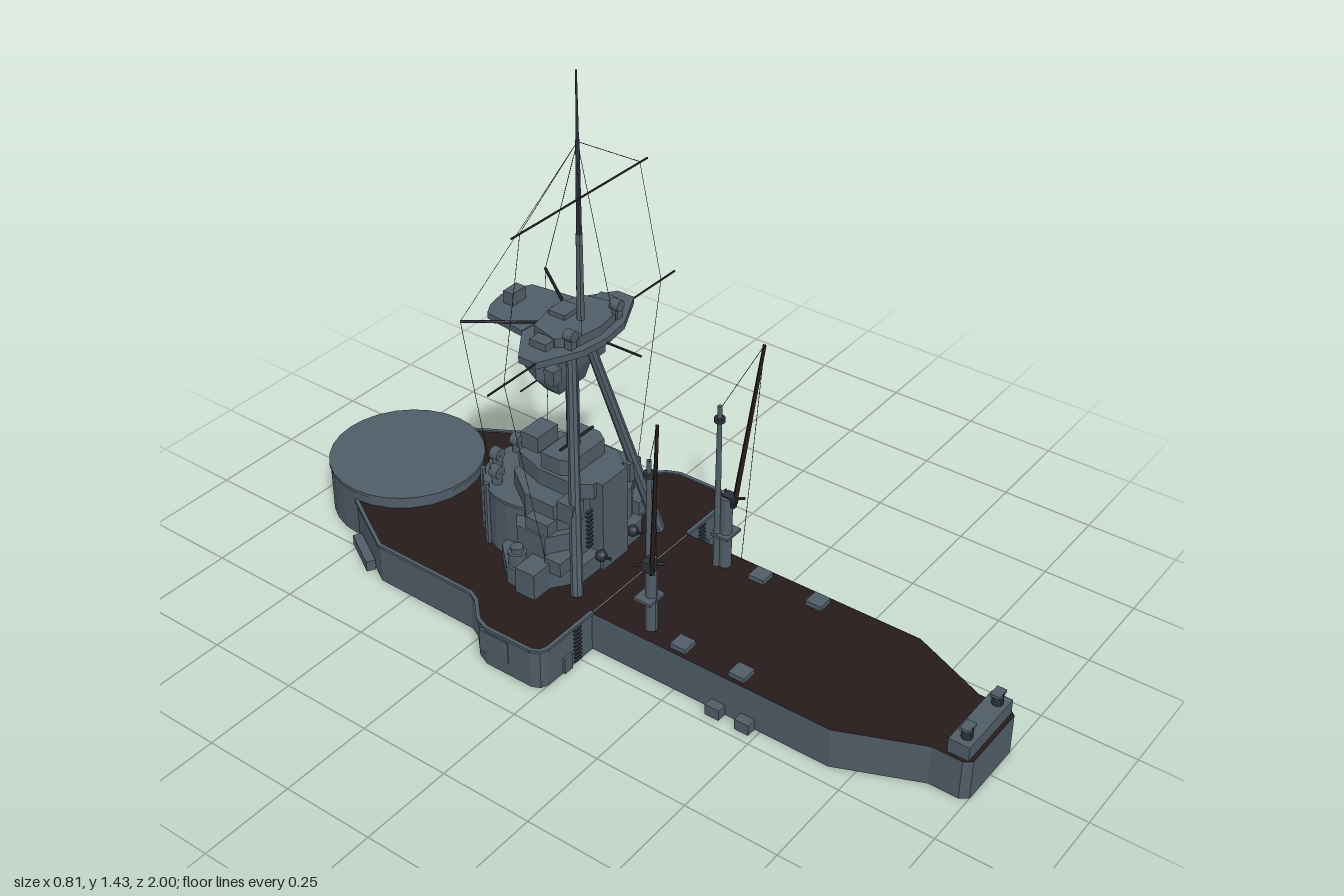
import * as THREE from 'three';
import { ConvexGeometry } from 'three/addons/geometries/ConvexGeometry.js';

const mat = (name, color) => {
  const m = new THREE.MeshStandardMaterial({ color, flatShading: true, side: THREE.DoubleSide });
  m.name = name;
  return m;
};

export function createModel() {
  const root = new THREE.Group();
  root.name = 'warship';
  const grey = mat('hull grey', 0x4f5c67), brown = mat('deck brown', 0x261b1b);
  const dark = mat('gunmetal', 0x2b3138), rope = mat('rigging', 0x33363a);
  const V = (x, y, z) => new THREE.Vector3(x, y, z);

  const add = (name, geo, m = grey, x = 0, y = 0, z = 0) => {
    const mesh = new THREE.Mesh(geo, m);
    mesh.name = name;
    mesh.position.set(x, y, z);
    root.add(mesh);
    return mesh;
  };
  // box and cylinder stand on height y
  const box = (name, x, y, z, w, h, d, m) => add(name, new THREE.BoxGeometry(w, h, d), m, x, y + h / 2, z);
  const cyl = (name, x, y, z, r, h, m, r2 = r, n = 12) =>
    add(name, new THREE.CylinderGeometry(r2, r, h, n), m, x, y + h / 2, z);
  // round bar from a to b
  const bar = (name, a, b, r, m = grey, r2 = r, n = 8) => {
    const d = b.clone().sub(a);
    const mesh = add(name, new THREE.CylinderGeometry(r2, r, d.length(), n), m);
    mesh.position.copy(a).addScaledVector(d, 0.5);
    mesh.quaternion.setFromUnitVectors(V(0, 1, 0), d.normalize());
    return mesh;
  };
  const line = (a, b) => bar('rigging line', a, b, 0.0008, rope, 0.0008, 4);
  const mirror = half => [...half, ...half.slice().reverse().filter(p => p[0] > 0).map(p => [-p[0], p[1]])];
  const plan = pts => new THREE.Shape(pts.map(p => new THREE.Vector2(p[0], -p[1])));
  const slab = (name, half, y, h, m) => {
    const g = new THREE.ExtrudeGeometry(plan(mirror(half)), { depth: h, bevelEnabled: false });
    return add(name, g.rotateX(-Math.PI / 2), m, 0, y, 0);
  };
  const flare = (name, bottom, y0, top, y1) => add(name, new ConvexGeometry([
    ...mirror(bottom).map(p => V(p[0], y0, p[1])), ...mirror(top).map(p => V(p[0], y1, p[1]))]));

  // Hull walls, open below
  const wall = (name, pts, y0, y1) => {
    const pos = [];
    for (let i = 0; i < pts.length - 1; i++) {
      const [a, b] = [pts[i], pts[i + 1]];
      pos.push(a[0], y0, a[1], b[0], y0, b[1], b[0], y1, b[1], a[0], y0, a[1], b[0], y1, b[1], a[0], y1, a[1]);
    }
    const g = new THREE.BufferGeometry();
    g.setAttribute('position', new THREE.Float32BufferAttribute(pos, 3));
    g.computeVertexNormals();
    add(name, g);
  };
  const aft = [[0.2, 0], [0.37, 0], [0.39, -0.008], [0.4, -0.03], [0.4, -0.17], [0.385, -0.205],
    [0.335, -0.255], [0.32, -0.285], [0.315, -0.6], [0.21, -0.78]];
  const bow = [[0.2, 0], [0.2, 0.69], [0.11, 0.9], [0.11, 0.98], [0.095, 1], [0, 1]];
  for (const s of [1, -1]) {
    const side = pts => pts.map(p => [p[0] * s, p[1]]);
    wall('aft hull side', side(aft), 0, 0.116);
    wall('bow hull side', side(bow), 0, 0.112);
    // Raised deck edge
    for (let i = 0; i < aft.length - 1; i++) {
      const [a, b] = [side(aft)[i], side(aft)[i + 1]];
      const e = box('deck edge', (a[0] + b[0]) / 2, 0.11, (a[1] + b[1]) / 2, 0.01, 0.008,
        Math.hypot(b[0] - a[0], b[1] - a[1]) + 0.004);
      e.rotation.y = Math.atan2(b[0] - a[0], b[1] - a[1]);
    }
  }
  for (const z of [0, 0.58]) wall('cross bulkhead', [[-0.2, z], [0.2, z]], 0, 0.11);

  // Decks, the aft one cut away around the turret ring
  const flat = (name, shape, y) => add(name, new THREE.ShapeGeometry(shape, 24).rotateX(-Math.PI / 2), brown, 0, y, 0);
  flat('bow deck', plan(mirror(bow)), 0.111);
  const arc = [];
  for (let i = 0; i <= 12; i++) {
    const t = Math.PI * i / 12;
    arc.push([0.208 * Math.cos(t), -0.79 + 0.208 * Math.sin(t)]);
  }
  flat('aft deck', plan([...aft, ...arc, ...aft.slice().reverse().map(p => [-p[0], p[1]])]), 0.114);

  // Stern turret ring
  add('turret ring', new THREE.CylinderGeometry(0.207, 0.207, 0.14, 28, 1, true), grey, 0, 0.07, -0.79);
  cyl('turret ring cover', 0, 0.138, -0.79, 0.21, 0.009, grey, 0.21, 28);

  // Bow platform
  box('bow platform', 0, 0.11, 0.962, 0.2, 0.04, 0.055);
  for (const x of [-0.07, 0.07]) {
    cyl('bow bollard', x, 0.15, 0.965, 0.014, 0.03, dark);
    box('bow bollard cap', x, 0.175, 0.965, 0.035, 0.008, 0.025);
  }

  // Superstructure tiers
  slab('lower house', [[0, -0.09], [0.12, -0.09], [0.19, -0.14], [0.235, -0.16], [0.235, -0.24], [0.17, -0.31], [0, -0.31]], 0.115, 0.05);
  slab('middle house', [[0, -0.12], [0.12, -0.12], [0.18, -0.16], [0.18, -0.25], [0.12, -0.3], [0, -0.3]], 0.165, 0.09);
  cyl('rounded tower', 0, 0.115, -0.31, 0.15, 0.165, grey, 0.15, 24);
  cyl('rounded tower rim', 0, 0.276, -0.31, 0.154, 0.008, grey, 0.154, 24);
  slab('bridge house', [[0, -0.12], [0.09, -0.12], [0.145, -0.16], [0.145, -0.25], [0.08, -0.34], [0, -0.34]], 0.255, 0.075);
  slab('upper bridge', [[0, -0.1], [0.06, -0.1], [0.09, -0.14], [0.09, -0.25], [0.06, -0.34], [0, -0.34]], 0.33, 0.045);
  slab('chart house', [[0, -0.16], [0.06, -0.16], [0.08, -0.19], [0.08, -0.25], [0, -0.25]], 0.375, 0.044);
  box('conning tower', 0, 0.05, -0.11, 0.1, 0.325, 0.06);
  box('rangefinder', 0, 0.375, -0.32, 0.08, 0.045, 0.055);
  bar('rangefinder tube', V(-0.065, 0.437, -0.2), V(0.065, 0.437, -0.2), 0.004, dark);

  for (const s of [1, -1]) {
    // Superstructure fittings and guns
    box('side house', s * 0.215, 0.115, -0.17, 0.07, 0.075, 0.06);
    box('side locker', s * 0.16, 0.165, -0.13, 0.06, 0.04, 0.05);
    box('bridge wing', s * 0.15, 0.256, -0.19, 0.05, 0.035, 0.07);
    box('bridge wing cabin', s * 0.115, 0.29, -0.13, 0.045, 0.055, 0.05);
    cyl('gun tub', s * 0.205, 0.165, -0.23, 0.024, 0.035);
    cyl('gun tub top', s * 0.205, 0.2, -0.23, 0.016, 0.014);
    for (const [x, z, h] of [[0.1, -0.38, 0.05], [0.04, -0.43, 0.05]]) {
      cyl('searchlight pedestal', s * x, 0.28, z, 0.014, h - 0.015);
      cyl('searchlight', s * x, 0.255 + h, z, 0.018, 0.025).rotation.x = Math.PI / 2;
    }
    for (const [x, z] of [[0.135, -0.385], [0.09, -0.435]])
      cyl('tower pipe', s * x, 0.115, z, 0.008, 0.185, grey, 0.008, 6);
    const gun = add('deck gun', new THREE.SphereGeometry(0.016, 10, 6), dark, s * 0.065, 0.17, -0.075);
    bar('deck gun barrel', gun.position, V(s * 0.065, 0.173, -0.045), 0.004, dark);
    // Ladders
    for (let i = 0; i < 9; i++) {
      box('hull ladder rung', s * 0.26, 0.006 + i * 0.012, 0.003, 0.026, 0.003, 0.006, dark);
      box('tower ladder rung', s * 0.06, 0.18 + i * 0.013, -0.115, 0.02, 0.003, 0.008, dark);
    }
    // Deck hatches, hull ledges and side boxes
    for (const z of [0.25, 0.42]) box('deck hatch', s * 0.165, 0.11, z, 0.045, 0.014, 0.045);
    for (const z of [0.38, 0.465]) box('hull ledge', s * 0.212, 0, z, 0.03, 0.03, 0.04);
    box('quarter ledge', s * 0.27, 0, -0.705, 0.025, 0.03, 0.125).rotation.y = s * 0.53;
    box('sponson box', s * 0.396, 0.035, -0.145, 0.012, 0.065, 0.09);
    box('sponson fitting', s * 0.3, 0, 0.003, 0.03, 0.045, 0.008);

    // Tripod leg
    bar('tripod leg', V(s * 0.17, 0.115, -0.07), V(s * 0.025, 0.74, -0.19), 0.016, grey, 0.013);

    // Derrick post and boom
    cyl('derrick base', s * 0.155, 0.11, 0.148, 0.016, 0.21);
    box('derrick platform', s * 0.16, 0.205, 0.145, 0.06, 0.008, 0.05);
    box('derrick winch', s * 0.165, 0.295, 0.15, 0.03, 0.028, 0.03, dark);
    for (const t of [1, -1])
      bar('derrick cross arm', V(s * 0.165 - 0.025, 0.31, 0.15 - t * 0.03), V(s * 0.165 + 0.025, 0.31, 0.15 + t * 0.03), 0.004, dark);
    cyl('derrick post', s * 0.142, 0.11, 0.13, 0.009, 0.48, grey, 0.006);
    cyl('derrick collar', s * 0.142, 0.545, 0.13, 0.014, 0.012, dark);
    const foot = V(s * 0.17, 0.29, 0.16), tip = V(s * 0.212, 0.755, 0.205);
    bar('derrick boom', foot, tip, 0.008, brown, 0.005, 4);
    line(tip, V(s * 0.142, 0.58, 0.13));
    line(tip, V(s * 0.18, 0.12, 0.18));

    // Rigging
    const head = V(0, 1.255, -0.18), yard = V(s * 0.22, 1.12, -0.17), low = V(s * 0.3, 0.765, -0.165);
    const quarter = V(s * 0.16, 0.772, -0.42);
    line(head, yard);
    line(yard, low);
    line(low, V(s * 0.18, 0.19, -0.16));
    line(head, quarter);
    line(quarter, V(s * 0.11, 0.29, -0.385));
    line(head, V(s * 0.06, 0.79, -0.13));
    bar('quarter spar', V(0, 0.772, -0.2), quarter, 0.004, dark);

    // Lamps and boxes on the top platform
    cyl('platform lamp', s * 0.088, 0.788, -0.14, 0.015, 0.026).rotation.x = Math.PI / 2;
    box('platform lamp stand', s * 0.088, 0.765, -0.14, 0.02, 0.025, 0.02);
    box('platform locker', s * 0.12, 0.765, -0.2, 0.035, 0.02, 0.05);
    bar('lower top spar', V(s * 0.06, 0.622, -0.26), V(s * 0.135, 0.622, -0.26), 0.002, dark);
    box('lower top lamp', s * 0.085, 0.645, -0.2, 0.03, 0.04, 0.03);
  }

  // Masts and yards
  cyl('main mast', 0, 0.376, -0.21, 0.017, 0.39);
  cyl('lower topmast', 0, 0.76, -0.18, 0.01, 0.26, grey, 0.008);
  cyl('upper topmast', 0, 1.0, -0.18, 0.007, 0.26, dark, 0.005);
  cyl('mast pole', 0, 1.25, -0.18, 0.004, 0.18, dark, 0.002);
  bar('lower yard', V(-0.357, 0.763, -0.165), V(0.357, 0.763, -0.165), 0.0025, dark);
  bar('upper yard', V(-0.25, 1.118, -0.17), V(0.25, 1.118, -0.17), 0.0025, dark);
  bar('forward spar', V(0, 0.752, 0), V(0, 0.752, -0.14), 0.003, dark);

  // Lower spotting top
  flare('lower top floor', [[0, -0.21], [0.05, -0.21], [0.05, -0.25], [0, -0.25]], 0.588,
    [[0, -0.19], [0.07, -0.2], [0.1, -0.24], [0.06, -0.3], [0, -0.3]], 0.645);
  slab('lower top house', [[0, -0.19], [0.07, -0.2], [0.1, -0.24], [0.07, -0.3], [0, -0.3]], 0.645, 0.04);
  slab('lower top roof', [[0, -0.19], [0.06, -0.2], [0.08, -0.24], [0.05, -0.28], [0, -0.28]], 0.685, 0.008);

  // Upper platform, a wide wing with a tapering tail and flared undersides
  const wing = [[0, -0.1], [0.08, -0.11], [0.19, -0.165], [0.19, -0.215], [0.1, -0.28], [0, -0.3]];
  const tail = [[0, -0.27], [0.1, -0.28], [0.085, -0.4], [0.05, -0.42], [0, -0.43]];
  flare('wing underside', [[0, -0.16], [0.06, -0.17], [0.06, -0.22], [0, -0.24]], 0.712, wing, 0.748);
  flare('tail underside', [[0, -0.2], [0.05, -0.2], [0.04, -0.25], [0, -0.25]], 0.712, tail, 0.752);
  slab('platform wing', wing, 0.748, 0.018);
  slab('platform tail', tail, 0.752, 0.016);
  slab('upper platform house', [[0, -0.12], [0.07, -0.13], [0.11, -0.17], [0.09, -0.25], [0, -0.27]], 0.766, 0.024);
  box('platform aft box', 0, 0.766, -0.385, 0.05, 0.035, 0.03);
  box('platform hatch', 0, 0.79, -0.23, 0.06, 0.012, 0.05);
  return root;
}
